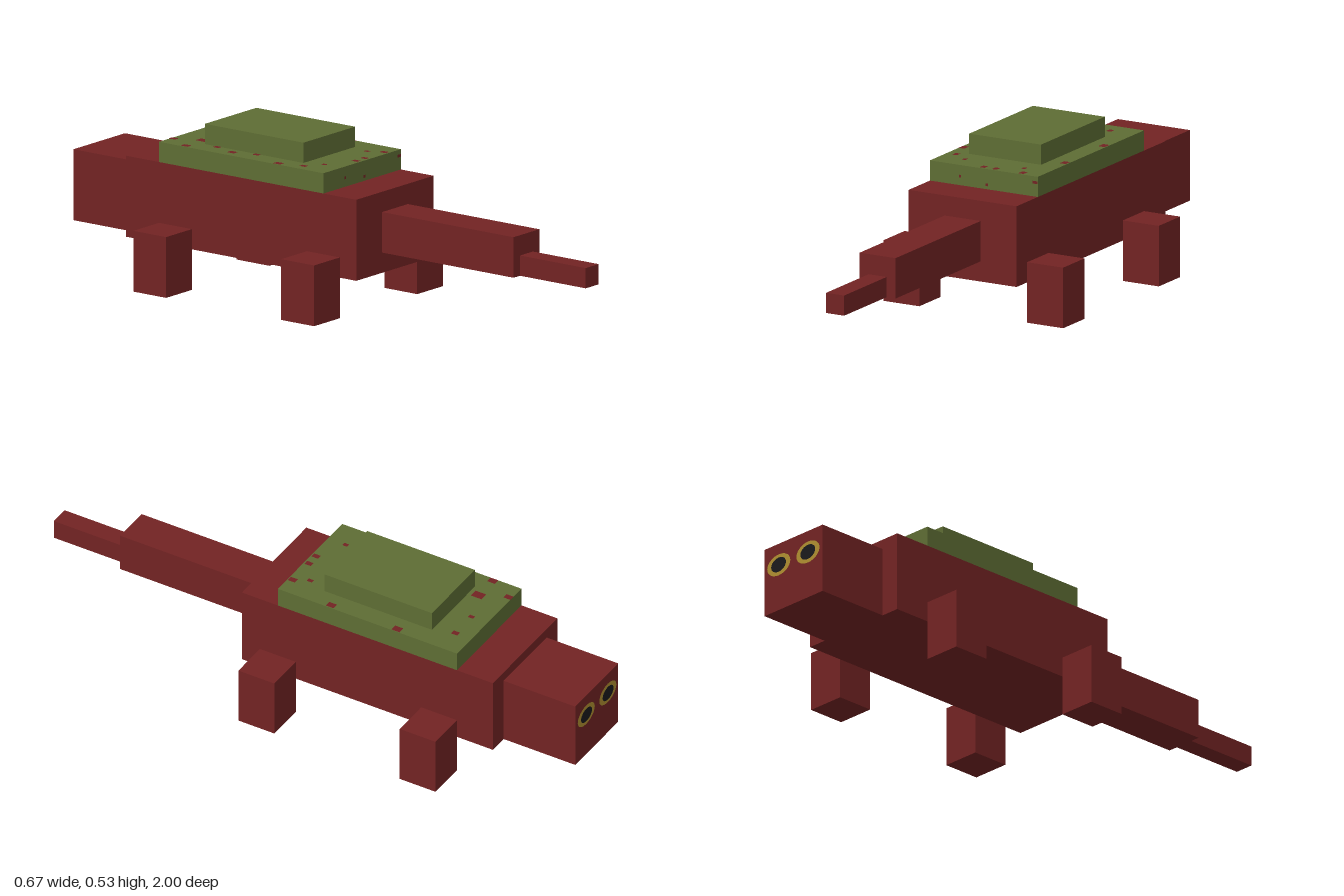
import * as THREE from 'three';

const U = 1 / 15; // block unit

function material(name, color) {
  const m = new THREE.MeshStandardMaterial({ color });
  m.name = name;
  return m;
}

export function createModel() {
  const red = material('dark red skin', 0x722323);
  const green = material('olive shell', 0x5e6d34);
  const gold = material('gold eye', 0xb08f30);
  const black = material('black pupil', 0x1a1a1c);
  const model = new THREE.Group();
  model.name = 'blockReptile';

  const add = (name, geometry, mat, x, y, z, parent = model) => {
    const mesh = new THREE.Mesh(geometry, mat);
    mesh.name = name;
    mesh.position.set(x, y, z);
    parent.add(mesh);
    return mesh;
  };

  // Box centred on x, given half width and y / z ranges in block units
  const block = (name, mat, half, y0, y1, z0, z1, x = 0) => add(
    name, new THREE.BoxGeometry(2 * half * U, (y1 - y0) * U, (z1 - z0) * U), mat,
    x * U, (y0 + y1) / 2 * U, (z0 + z1) / 2 * U);

  // Body, head, tail
  block('body', red, 3, 2, 6, -11, 3);
  block('head', red, 2, 2, 5.5, -15, -11);
  block('tailBase', red, 1, 3, 5, 3, 11);
  block('tailTip', red, 0.5, 3, 4, 11, 15);

  // Two-step shell
  block('lowerShell', green, 3, 6, 7, -9, 1);
  block('upperShell', green, 2, 7, 8, -7, -1);

  // Legs and eyes, mirrored
  for (const s of [1, -1]) {
    const side = s > 0 ? 'left' : 'right';
    block(side + 'TailEndLeg', red, 1, 0, 3, 0, 2, 4 * s);
    block(side + 'HeadEndLeg', red, 1, 0, 3, -9, -7, 4 * s);

    const eye = new THREE.Group();
    eye.name = side + 'Eye';
    eye.position.set(0.067 * s, 0.292, -1);
    eye.rotation.y = Math.PI;
    model.add(eye);
    add('iris', new THREE.CircleGeometry(1, 28), gold, 0, 0, 0.001, eye).scale.set(0.053, 0.037, 1);
    add('pupil', new THREE.CircleGeometry(1, 24), black, 0, 0, 0.002, eye).scale.set(0.034, 0.025, 1);
  }

  // Small red flecks on top of the lower shell: x, z, size
  const flecks = [
    [-0.14, -0.588, 0.02], [-0.188, -0.5, 0.022], [-0.1, -0.5, 0.03], [0.01, -0.54, 0.014],
    [0.11, -0.54, 0.018], [-0.142, -0.41, 0.018], [-0.165, -0.33, 0.022], [-0.142, -0.25, 0.018],
    [-0.188, -0.125, 0.022], [-0.165, -0.04, 0.018], [-0.11, 0, 0.014], [-0.01, 0.05, 0.018],
    [0.035, 0.05, 0.018], [0.11, 0, 0.014], [0.135, 0.05, 0.02], [0.187, -0.37, 0.024],
    [0.187, -0.125, 0.022],
  ];
  for (const [x, z, size] of flecks) {
    add('shellFleck', new THREE.PlaneGeometry(size, size * 1.3), red, x, 7 * U + 0.001, z)
      .rotation.x = -Math.PI / 2;
  }
  // Flecks on the tail-end edge of the shell
  for (const [x, y, w] of [[0.19, 0.447, 0.018], [0.011, 0.415, 0.01], [-0.088, 0.43, 0.009]]) {
    add('shellEdgeFleck', new THREE.PlaneGeometry(w, 0.009), red, x, y, U + 0.001);
  }
  return model;
}
